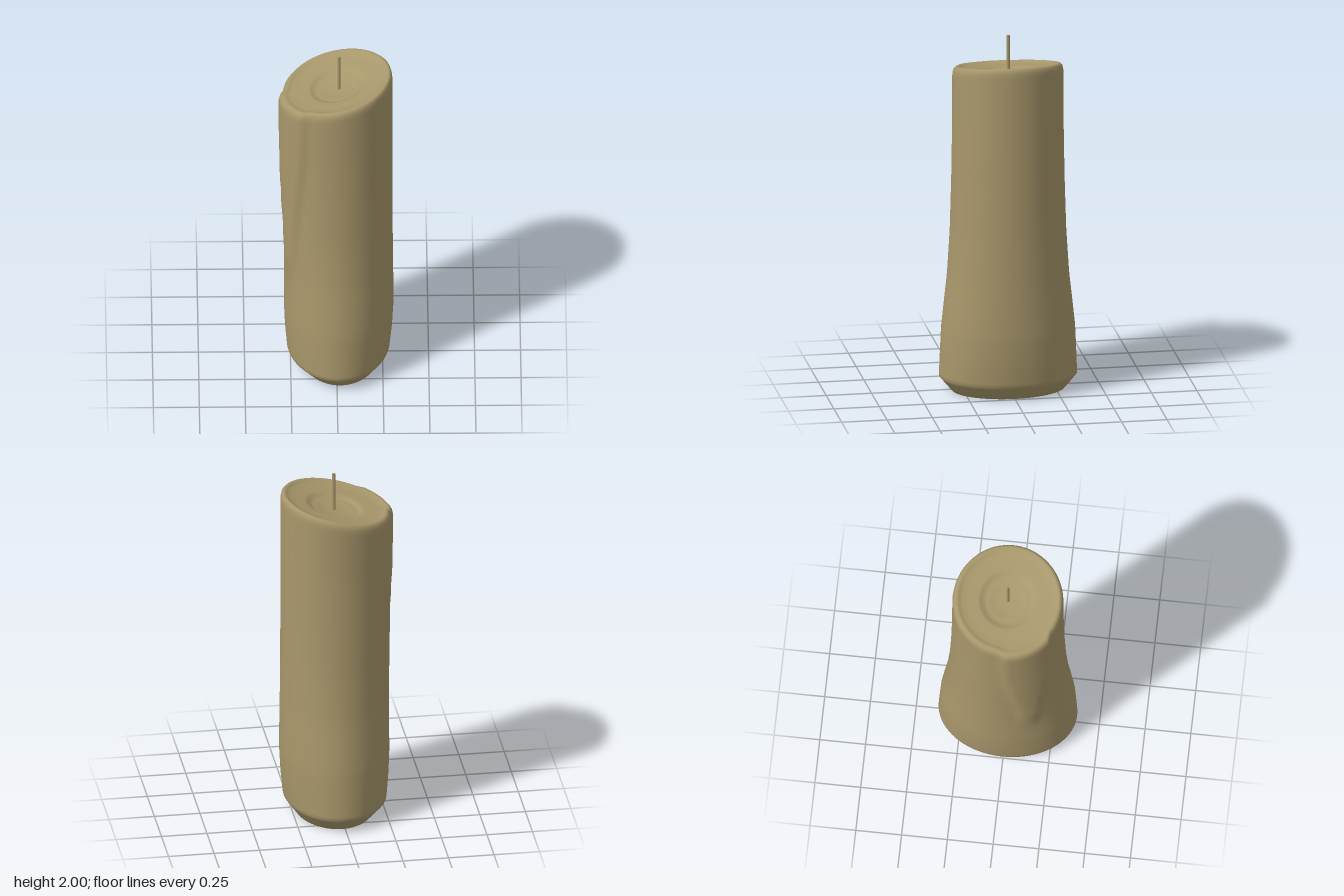
import * as THREE from 'three';

const { lerp, smoothstep } = THREE.MathUtils;
const SIDES = 80;
const SLOPE = 0.22; // tilt of the melted top, rising towards +x
const TOP = 1.83;

// outer sections: height, centre x, radius x, radius z
const SECTIONS = [
  [0, 0.017, 0.218, 0.31],
  [0.08, 0.01, 0.28, 0.378],
  [0.2, 0.011, 0.291, 0.373],
  [0.35, 0.012, 0.298, 0.366],
  [0.5, 0.012, 0.297, 0.35],
  [0.65, 0.011, 0.296, 0.333],
  [0.9, 0.009, 0.296, 0.317],
  [1.2, 0.006, 0.298, 0.308],
  [1.5, 0.005, 0.299, 0.303],
  [1.76, 0.004, 0.3, 0.302],
];

// rounded rim and stepped melt pool: radius factor, drop below the rim plane
const POOL = [
  [1, 0.05], [0.995, 0.03], [0.98, 0.012], [0.95, 0.002], [0.915, 0], [0.88, 0.005],
  [0.83, 0.014], [0.7, 0.019], [0.54, 0.022], [0.49, 0.028], [0.44, 0.04],
  [0.38, 0.042], [0.31, 0.042], [0.27, 0.049], [0.15, 0.05], [0, 0.05],
];

function sectionAt(h) {
  let i = 0;
  while (i < SECTIONS.length - 2 && h > SECTIONS[i + 1][0]) i++;
  const a = SECTIONS[i], b = SECTIONS[i + 1];
  const t = Math.min(1, (h - a[0]) / (b[0] - a[0]));
  return a.map((v, k) => lerp(v, b[k], t));
}

// thickness of the wax run on the front-left-facing (-x, +z) side
function drip(angle, h) {
  const centre = 2.68;
  const halfWidth = lerp(0.16, 0.5, smoothstep(h, 0.55, 1.7));
  const across = 1 - smoothstep(Math.abs(angle - centre), halfWidth - 0.1, halfWidth + 0.06);
  return 0.02 * across * smoothstep(h, 0.52, 0.8);
}

function waxGeometry() {
  const rings = [];
  const addRing = (h, scale, drop, side) => {
    const [, cx, rx, rz] = sectionAt(h);
    const tilt = SLOPE * smoothstep(h, 0.9, 1.72);
    const ring = [];
    for (let i = 0; i < SIDES; i++) {
      const a = (i / SIDES) * Math.PI * 2;
      const d = side ? drip(a, h) * smoothstep(scale, 0.6, 1) : 0;
      const x = lerp(0.014, cx, scale) + Math.cos(a) * (rx * scale + d);
      const z = Math.sin(a) * (rz * scale + d);
      ring.push([x, h - drop + tilt * x, z]);
    }
    rings.push(ring);
  };

  // underside, wall, then rim and pool
  for (const s of [0.001, 0.5, 0.96]) addRing(0, s, 0, false);
  for (const h of [0, 0.03, 0.065, 0.08, 0.1]) addRing(h, 1, 0, false);
  for (let i = 1; i <= 40; i++) addRing(lerp(0.1, 1.75, i / 40), 1, 0, true);
  for (const [s, drop] of POOL) addRing(TOP, Math.max(s, 0.001), drop, true);

  const index = [];
  for (let r = 0; r < rings.length - 1; r++) {
    for (let i = 0; i < SIDES; i++) {
      const j = (i + 1) % SIDES;
      const a = r * SIDES + i, b = r * SIDES + j;
      const c = a + SIDES, d = b + SIDES;
      index.push(a, c, b, b, c, d);
    }
  }
  const geometry = new THREE.BufferGeometry();
  geometry.setAttribute('position', new THREE.Float32BufferAttribute(rings.flat(2), 3));
  geometry.setIndex(index);
  geometry.computeVertexNormals();
  return geometry;
}

export function createModel() {
  const group = new THREE.Group();
  group.name = 'candle';
  const wax = new THREE.MeshStandardMaterial({ color: 0xa8976b });
  wax.name = 'tan wax';

  const body = new THREE.Mesh(waxGeometry(), wax);
  body.name = 'waxBody';
  group.add(body);

  // wick standing in the pool
  const wick = new THREE.Mesh(new THREE.CylinderGeometry(0.009, 0.009, 0.24, 8), wax);
  wick.name = 'wick';
  wick.position.set(0.014, 1.88, 0);
  group.add(wick);

  return group;
}
